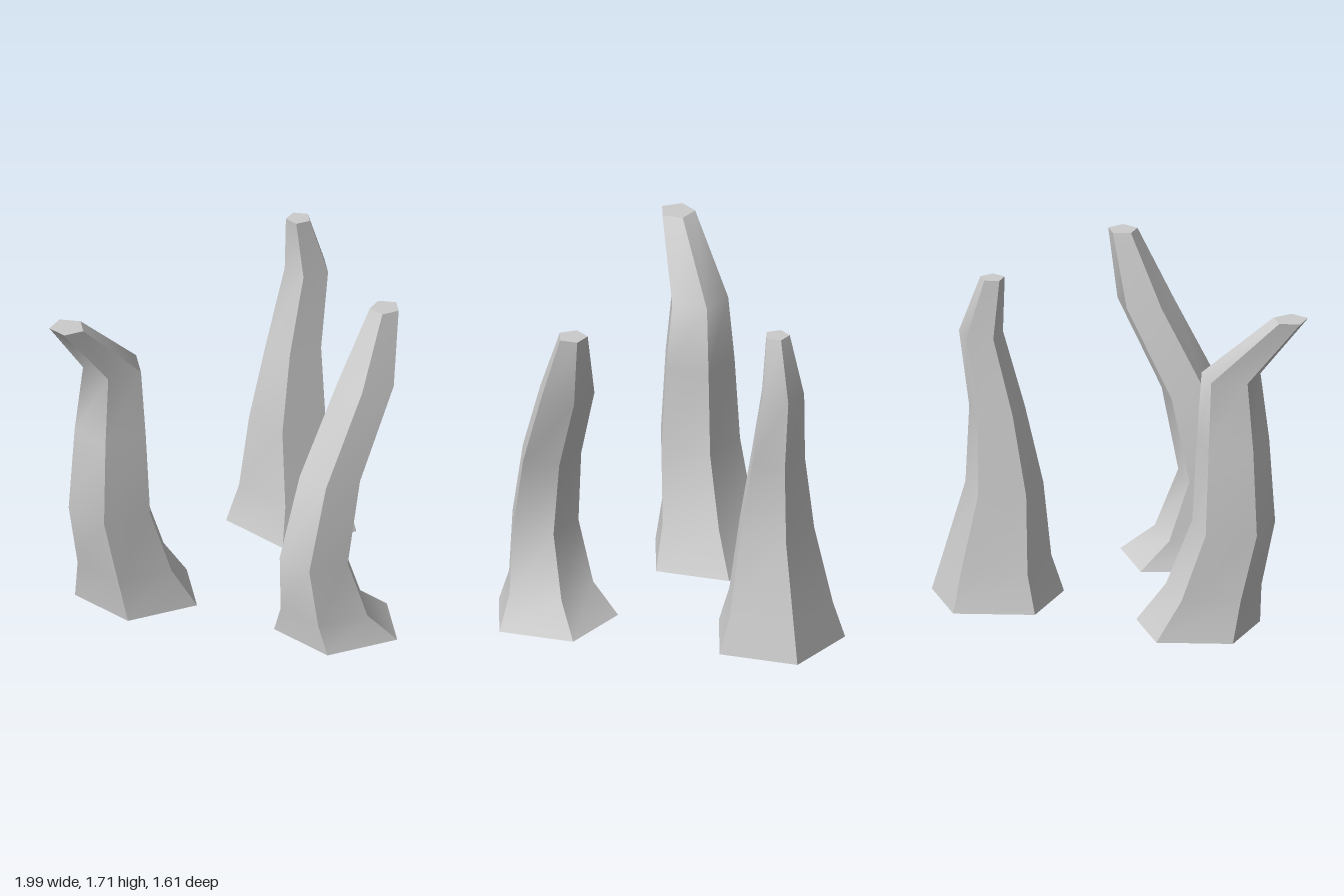
import * as THREE from 'three';
import { mergeGeometries } from 'three/addons/utils/BufferGeometryUtils.js';

const SIDES = 5;

// Cross-sections from base to tip: [height, centre x, radius]
const TENTACLES = [
  { name: 'leftBackTentacle', z: -0.475, rings: [
    [0.03, 0.647, 0.348], [0.225, 0.65, 0.285], [0.62, 0.61, 0.205],
    [1.02, 0.648, 0.147], [1.41, 0.734, 0.116], [1.71, 0.671, 0.064]] },
  { name: 'frontTentacle', z: 0.495, rings: [
    [0.015, 0.026, 0.329], [0.16, -0.062, 0.232], [0.47, -0.137, 0.182],
    [0.89, -0.027, 0.161], [1.335, 0.221, 0.149], [1.7, 0.343, 0.077]] },
  { name: 'rightBackTentacle', z: -0.478, rings: [
    [0, -0.426, 0.326], [0.21, -0.511, 0.251], [0.56, -0.618, 0.218],
    [1.0, -0.615, 0.19], [1.345, -0.605, 0.155], [1.68, -0.926, 0.091]] },
];

// One long side, smooth along its length and sharp against its neighbours
function sideStrip(rings, side) {
  const last = rings.length - 1;
  const strip = new THREE.PlaneGeometry(1, 1, 1, last);
  const pos = strip.attributes.position;
  for (let i = 0; i < pos.count; i++) {
    const [y, cx, r] = rings[last - Math.floor(i / 2)];
    const a = ((side + (i % 2)) / SIDES) * Math.PI * 2;
    pos.setXYZ(i, cx + r * Math.cos(a), y, -r * Math.sin(a));
  }
  strip.computeVertexNormals();
  return strip;
}

// Flat pentagon closing the base or the tip
function cap([y, cx, r], up) {
  const g = new THREE.CircleGeometry(r, SIDES);
  if (!up) g.rotateY(Math.PI).rotateZ(Math.PI); // turn to face down, corner kept at +x
  return g.rotateX(-Math.PI / 2).translate(cx, y, 0);
}

export function createModel() {
  const group = new THREE.Group();
  group.name = 'tentacles';
  const material = new THREE.MeshStandardMaterial({ color: 0xcccccc });
  for (const { name, z, rings } of TENTACLES) {
    const parts = [cap(rings[0], false), cap(rings[rings.length - 1], true)];
    for (let s = 0; s < SIDES; s++) parts.push(sideStrip(rings, s));
    const mesh = new THREE.Mesh(mergeGeometries(parts), material);
    mesh.name = name;
    mesh.position.z = z;
    group.add(mesh);
  }
  return group;
}
